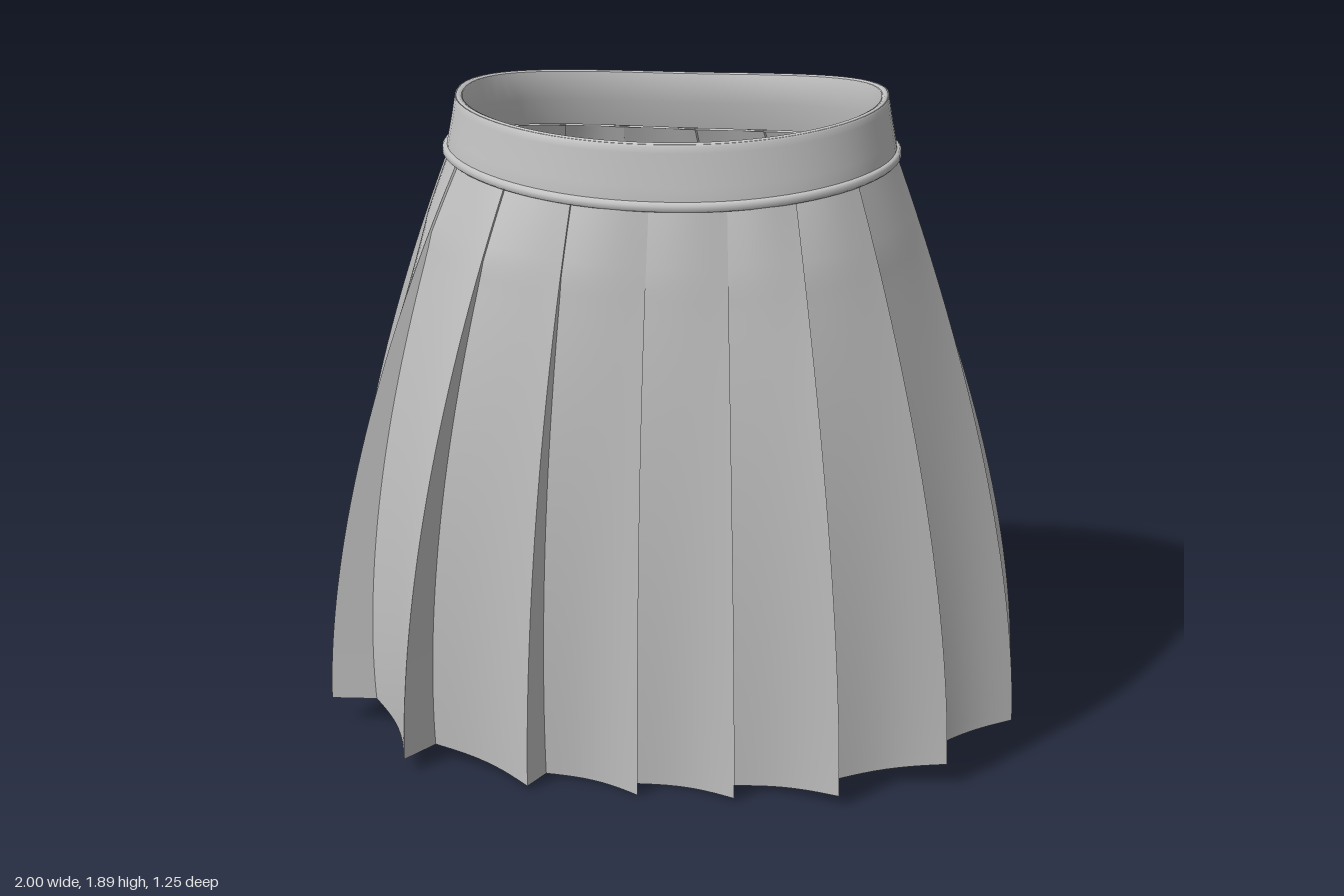
import * as THREE from 'three';

const cloth = new THREE.MeshStandardMaterial({ color: 0xc0c0c0, side: THREE.DoubleSide });
cloth.name = 'grey cloth';

// waist oval and its lower and upper edges
const WAIST_Z = 0.095;
function waistPoint(angle, inset) {
  const a = 0.625 - inset, b = 0.41 - inset, n = 2.25;
  const c = Math.cos(angle), s = Math.sin(angle);
  const r = Math.pow(Math.pow(Math.abs(c) / a, n) + Math.pow(Math.abs(s) / b, n), -1 / n);
  return [c * r, WAIST_Z + s * r];
}
const bandBottom = (x) => 1.665 + 0.05 * (x / 0.62) ** 2;
const bandTop = (x) => 1.84 + 0.04 * (x / 0.58) ** 2 + 0.012 * x;
const hemY = (x, z) => 0.09 * x * x + 0.012 * (x > 0 ? x : 0) + 0.03 * THREE.MathUtils.smoothstep(-z, -0.3, 0.6);

// pleats, going round from the front right: hem tip x, z, then hem of the fold behind it x, z
const PLEATS = [
  [-1.0, -0.05, -0.88, 0.0], [-0.97, 0.3, -0.84, 0.29], [-0.7, 0.57, -0.63, 0.47],
  [-0.34, 0.62, -0.3, 0.54], [-0.03, 0.615, -0.05, 0.55], [0.24, 0.615, 0.21, 0.545],
  [0.53, 0.61, 0.49, 0.53], [0.82, 0.46, 0.74, 0.42], [0.995, 0.23, 0.89, 0.2],
  [0.985, -0.13, 0.84, -0.11], [0.77, -0.41, 0.63, -0.36], [0.48, -0.59, 0.4, -0.49],
  [0.17, -0.63, 0.1, -0.5], [-0.21, -0.58, -0.2, -0.51], [-0.49, -0.6, -0.41, -0.5],
  [-0.79, -0.4, -0.67, -0.31],
];
// waist position of each pleat edge
const WAIST = [
  [-0.62, 0.06], [-0.56, 0.29], [-0.41, 0.42], [-0.22, 0.48], [-0.01, 0.5], [0.2, 0.49],
  [0.38, 0.44], [0.53, 0.33], [0.62, 0.09], [0.57, -0.12], [0.43, -0.27], [0.23, -0.31],
  [0.02, -0.32], [-0.2, -0.32], [-0.38, -0.28], [-0.56, -0.16],
];

// smooth sheet from a function of u (across) and v (down)
function sheet(name, nu, nv, fn) {
  const pos = [], idx = [];
  for (let j = 0; j <= nv; j++)
    for (let i = 0; i <= nu; i++) pos.push(...fn(i / nu, j / nv));
  for (let j = 0; j < nv; j++)
    for (let i = 0; i < nu; i++) {
      const a = j * (nu + 1) + i, c = a + nu + 1;
      idx.push(a, c, a + 1, a + 1, c, c + 1);
    }
  const g = new THREE.BufferGeometry();
  g.setAttribute('position', new THREE.Float32BufferAttribute(pos, 3));
  g.setIndex(idx);
  g.computeVertexNormals();
  const mesh = new THREE.Mesh(g, cloth);
  mesh.name = name;
  return mesh;
}

// outer edge of pleat k at height fraction t (0 waist, 1 hem)
function tip(k, t) {
  const [hx, hz] = PLEATS[k], [wx, wz] = WAIST[k];
  const [x0, z0] = waistPoint(Math.atan2(wz - WAIST_Z, wx), 0.012);
  const flare = 1 - (1 - t) ** 1.7;
  const frontFlare = 1 - (1 - t) ** (1.7 + 1.8 * Math.max(0, hz));
  const y0 = bandBottom(x0) + 0.015;
  return [x0 + (hx - x0) * flare, y0 + (hemY(hx, hz) - y0) * t, z0 + (hz - z0) * frontFlare];
}

// inner fold behind pleat k: stitched flat at first, then opening
function valley(k, t) {
  const [hx, hz, vx, vz] = PLEATS[k], p = tip(k, t);
  const open = t < 0.15 ? 0.05 : 0.1 + 0.9 * ((t - 0.15) / 0.85) ** 0.9;
  return [p[0] + (vx - hx) * open, p[1], p[2] + (vz - hz) * open];
}

// hoop made by sweeping a profile of [inset, height fraction] round the waist
function hoop(name, profile) {
  return sheet(name, 96, profile.length - 1, (u, v) => {
    const [inset, h] = profile[Math.round(v * (profile.length - 1))];
    const [x, z] = waistPoint(-u * Math.PI * 2, inset);
    const y0 = bandBottom(x), y1 = bandTop(x);
    return [x, y0 + (y1 - y0) * h, z];
  });
}

export function createModel() {
  const skirt = new THREE.Group();
  skirt.name = 'pleatedSkirt';

  const N = PLEATS.length;
  for (let k = 0; k < N; k++) {
    const prev = (k + N - 1) % N;
    const pleat = new THREE.Group();
    pleat.name = 'pleat';

    // visible panel, rounded at the waist and slightly hollow at the hem
    pleat.add(sheet('pleatPanel', 10, 40, (u, t) => {
      const a = valley(prev, t), b = tip(k, t);
      const dx = b[0] - a[0], dz = b[2] - a[2], len = Math.hypot(dx, dz) || 1;
      const bulge = (0.014 - 0.036 * t) * Math.sin(Math.PI * u);
      return [
        a[0] + dx * u - (dz / len) * bulge,
        a[1] + (b[1] - a[1]) * u,
        a[2] + dz * u + (dx / len) * bulge,
      ];
    }));

    // cloth turned back behind the pleat edge
    pleat.add(sheet('pleatFold', 4, 40, (u, t) => {
      const a = tip(k, t), b = valley(k, t);
      return a.map((c, i) => c + (b[i] - c) * u);
    }));
    skirt.add(pleat);
  }

  // waistband with a rolled top edge and an inner facing
  skirt.add(hoop('waistband', [
    [0.035, 0.98], [0.055, 0.98], [0.055, 0.5], [0.04, 0.05],
  ]));
  skirt.add(hoop('waistbandOuter', [
    [0.055, 0.97], [0.046, 1], [0.039, 0.99], [0.034, 0.95], [0.031, 0.85],
    [0.024, 0.6], [0.016, 0.35], [0.01, 0.15], [0.01, 0.08],
  ]));
  // stitched lip along the bottom of the band
  skirt.add(hoop('waistbandLip', [
    [0.012, 0.14], [0.003, 0.13], [-0.002, 0.09], [-0.003, 0.02], [0.003, -0.01], [0.02, -0.01],
  ]));
  return skirt;
}
